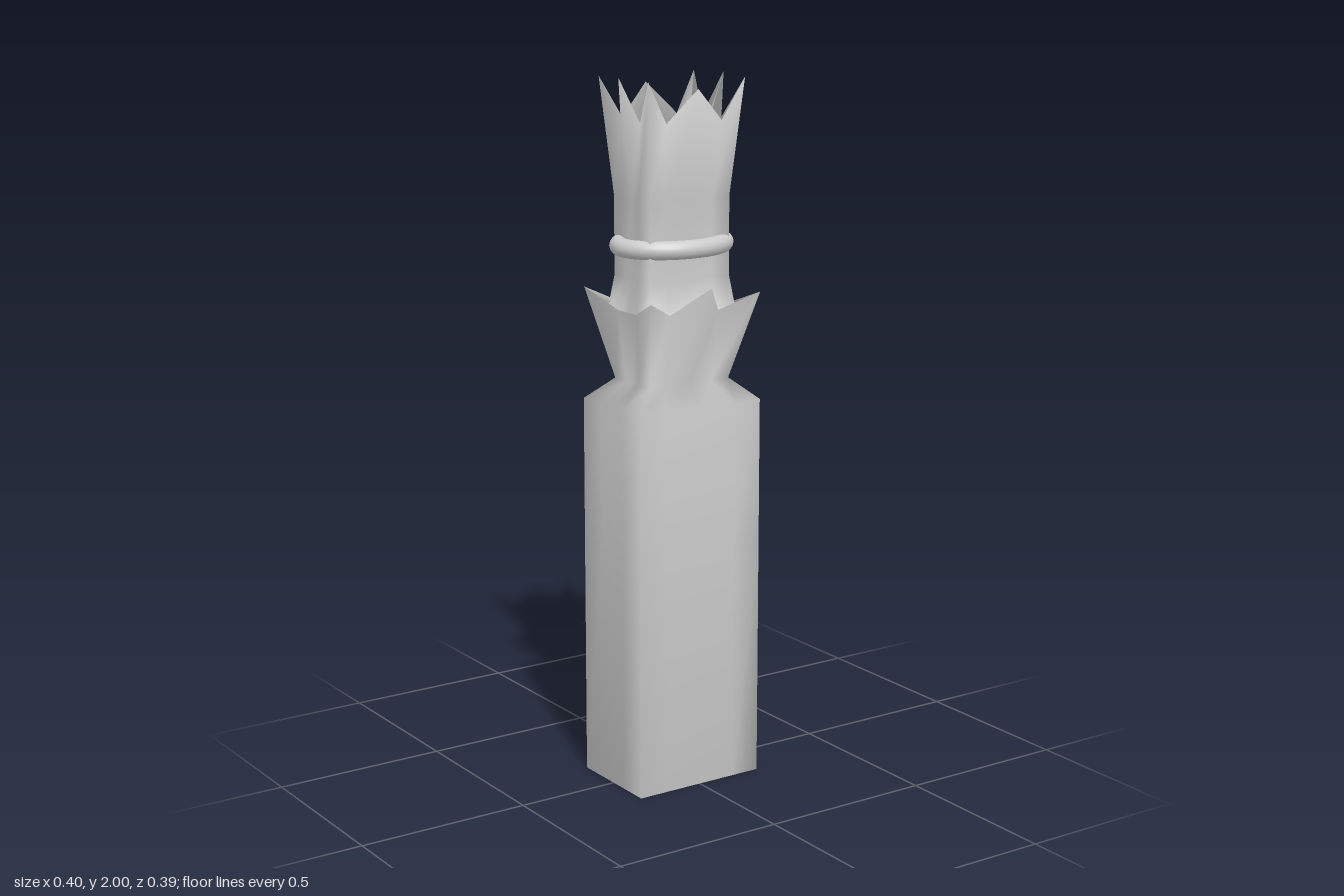
import * as THREE from 'three';

// Mirror a quarter outline (front middle -> corner -> side middle) into a closed 16-point loop
function loop(q) {
  const flip = (sx, sz) => q.map(([x, y, z]) => [x * sx, y, z * sz]);
  return [
    ...flip(1, 1).slice(0, 4),
    ...flip(1, -1).reverse().slice(0, 4),
    ...flip(-1, -1).slice(0, 4),
    ...flip(-1, 1).reverse().slice(0, 4),
  ];
}

// Plain rectangular section with half width w and half depth d
const rect = (y, w, d) => loop([
  [0, y, d], [0.57 * w, y, d], [w, y, d], [w, y, 0.37 * d], [w, y, 0],
]);

export function createModel() {
  const group = new THREE.Group();
  const material = new THREE.MeshStandardMaterial({ color: 0xcccccc, side: THREE.DoubleSide });

  // Pointed rims: front point, front notch, corner point, side notch, side middle
  const collarRim = loop([
    [0, 1.44, 0.193], [0.08, 1.36, 0.11], [0.18, 1.41, 0.168], [0.148, 1.36, 0.045], [0.148, 1.36, 0],
  ]);
  const crownRim = loop([
    [0, 1.97, 0.127], [0.09, 1.88, 0.108], [0.157, 1.995, 0.122], [0.133, 1.88, 0.045], [0.172, 2, 0],
  ]);

  // One continuous skin from the base up to the floor inside the crown
  const rings = [
    rect(0, 0, 0),
    rect(0, 0.2, 0.143),
    rect(0.7, 0.2, 0.143),
    rect(1.1, 0.2, 0.143),
    rect(1.16, 0.131, 0.087),
    collarRim,
    rect(1.355, 0.143, 0.104),
    rect(1.45, 0.131, 0.088),
    rect(1.67, 0.131, 0.088),
    crownRim,
    rect(1.76, 0.085, 0.05),
    rect(1.76, 0, 0),
  ];
  const n = rings[0].length;

  function skinIndex(from, to) {
    const index = [];
    for (let i = from; i < to; i++) {
      for (let j = 0; j < n; j++) {
        const k = (j + 1) % n;
        const a = i * n + j, b = i * n + k, c = a + n, d = b + n;
        index.push(a, b, d, a, d, c);
      }
    }
    return index;
  }

  const skin = new THREE.BufferGeometry();
  skin.setAttribute('position', new THREE.Float32BufferAttribute(rings.flat(2), 3));
  skin.setIndex(skinIndex(0, rings.length - 1));
  skin.computeVertexNormals();

  // Split the skin into named parts that keep the shared smooth normals
  const parts = { body: [0, 4], collar: [4, 6], neck: [6, 8], crown: [8, 11] };
  for (const [name, [from, to]] of Object.entries(parts)) {
    const part = skin.clone();
    part.setIndex(skinIndex(from, to));
    const flat = part.toNonIndexed();
    const mesh = new THREE.Mesh(flat, material);
    mesh.name = name;
    group.add(mesh);
  }

  // Oval ring around the neck
  class Oval extends THREE.Curve {
    getPoint(t, target = new THREE.Vector3()) {
      const a = t * Math.PI * 2;
      return target.set(0.156 * Math.cos(a), 1.538, 0.118 * Math.sin(a));
    }
  }
  const neckRing = new THREE.Mesh(new THREE.TubeGeometry(new Oval(), 64, 0.026, 16, true), material);
  neckRing.name = 'neckRing';
  group.add(neckRing);

  return group;
}
